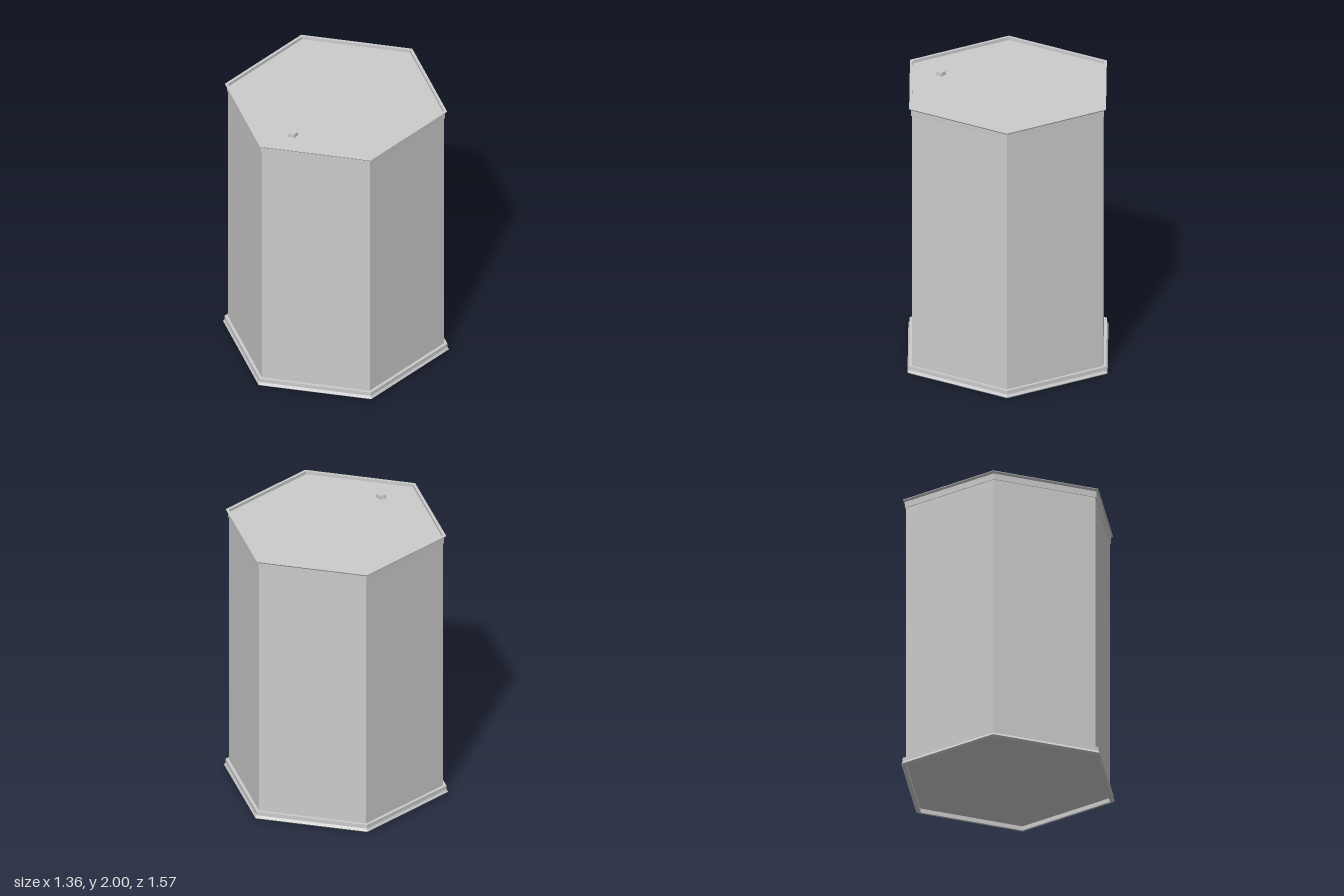
import * as THREE from 'three';

const material = new THREE.MeshStandardMaterial({ color: 0xcccccc, flatShading: true });

// Six-sided ring or shell; profile runs [radius, y], upwards on the outside
function hexPart(name, profile) {
  const points = profile.map(([r, y]) => new THREE.Vector2(r, y));
  const mesh = new THREE.Mesh(new THREE.LatheGeometry(points, 6), material);
  mesh.name = name;
  return mesh;
}

export function createModel() {
  const group = new THREE.Group();
  group.name = 'hexagonalCanister';

  // Straight walls
  group.add(hexPart('body', [[0.75, 0.03], [0.75, 1.97]]));

  // Stepped foot with a recessed underside
  group.add(hexPart('baseRim', [
    [0.75, 0.03], [0.75, 0], [0.77, 0], [0.785, 0.012],
    [0.774, 0.03], [0.774, 0.058], [0.75, 0.058],
  ]));
  group.add(hexPart('basePlate', [[0, 0.03], [0.75, 0.03]]));

  // Collar flaring into a thin lip around the recessed lid
  group.add(hexPart('topRim', [
    [0.75, 1.935], [0.756, 1.935], [0.757, 1.978],
    [0.772, 1.99], [0.772, 1.994], [0.75, 1.994], [0.75, 1.972],
  ]));
  group.add(hexPart('lid', [[0.75, 1.972], [0, 1.972]]));

  // Small five-sided cap on the lid
  const cap = new THREE.Mesh(new THREE.CylinderGeometry(0.037, 0.037, 0.03, 5), material);
  cap.name = 'fillerCap';
  cap.position.set(-0.405, 1.985, 0.298);
  group.add(cap);

  return group;
}
